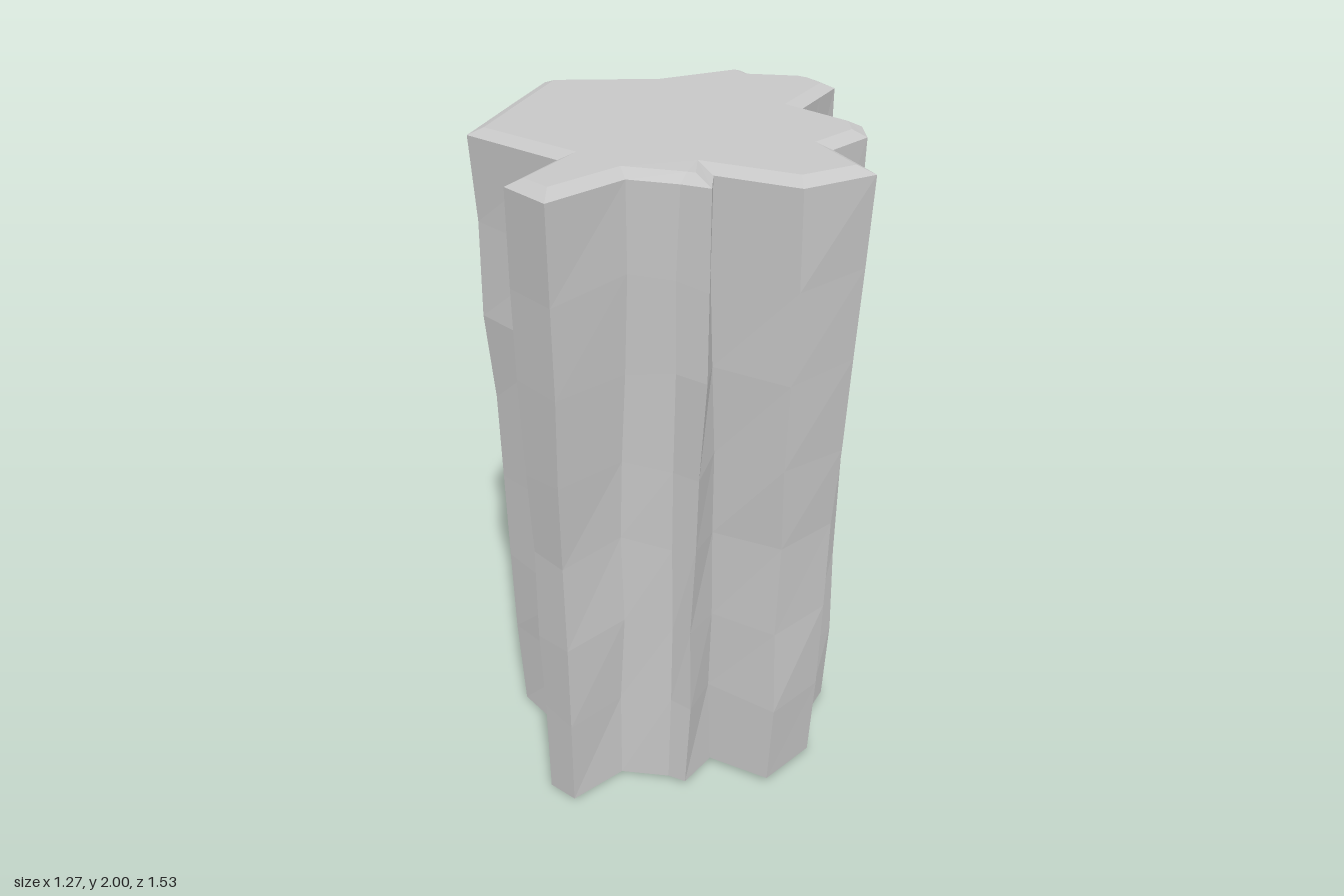
import * as THREE from 'three';

// Vertical edges of the rock, clockwise from above: [topX, topZ, bottomX, bottomZ, swell]
const EDGES = [
  [-0.31, -0.725, -0.23, -0.62], [0.06, -0.655, 0.07, -0.6], [0.39, -0.77, 0.35, -0.635],
  [0.41, -0.66, 0.39, -0.56], [0.57, -0.585, 0.47, -0.47], [0.6, -0.53, 0.52, -0.43],
  [0.62, -0.405, 0.565, -0.35, 0.03], [0.53, -0.28, 0.43, -0.22], [0.415, -0.12, 0.29, -0.1],
  [0.525, 0.14, 0.46, 0.07, 0.025], [0.495, 0.275, 0.44, 0.26, 0.015], [0.35, 0.395, 0.345, 0.38, 0.015],
  [0.38, 0.675, 0.3, 0.545], [0.15, 0.765, 0.13, 0.66], [-0.045, 0.585, -0.02, 0.515],
  [-0.08, 0.71, -0.125, 0.61, 0.03], [-0.15, 0.65, -0.17, 0.57], [-0.28, 0.57, -0.31, 0.51],
  [-0.52, 0.75, -0.48, 0.605], [-0.6, 0.57, -0.54, 0.52], [-0.425, 0.33, -0.42, 0.34, 0.02],
  [-0.64, -0.02, -0.555, 0.03], [-0.475, -0.375, -0.45, -0.3],
];
const LEVELS = [0, 0.3, 0.58, 0.87, 1.13, 1.42, 1.7, 1.97];
const BLEND = [0, 0.21, 0.29, 0.38, 0.53, 0.74, 0.85, 1]; // bottom outline to top outline
const SWELL = [0, 0.1, 0.5, 0.5, 0.6, 1, 0.1, 0]; // strength of the ridge swell
const BEVEL = 0.045;

// Small repeatable wobble in -1..1
function wobble(i, j, k) {
  const s = Math.sin(i * 12.9898 + j * 78.233 + k * 37.719) * 43758.5453;
  return (s - Math.floor(s)) * 2 - 1;
}

// One cross-section of the rock
function ring(level) {
  const last = LEVELS.length - 1;
  const t = BLEND[level];
  return EDGES.map(([tx, tz, bx, bz, swell = 0], i) => {
    let x = bx + (tx - bx) * t, z = bz + (tz - bz) * t;
    const grow = 1 + (swell * SWELL[level]) / Math.hypot(x, z);
    x *= grow;
    z *= grow;
    let y = LEVELS[level];
    if (level === 0) y = 0.015 + x * 0.024;
    else if (level === last) y += z * 0.006;
    else {
      x += wobble(i, level, 1) * 0.007;
      z += wobble(i, level, 2) * 0.007;
      y += wobble(i, level, 3) * 0.015;
    }
    return new THREE.Vector3(x, y, z);
  });
}

// Mitred inset of the upper ring, giving the bevelled rim
function inset(points) {
  const n = points.length;
  const normal = (a, b) => new THREE.Vector2(a.z - b.z, b.x - a.x).normalize();
  return points.map((p, i) => {
    const n1 = normal(points[(i + n - 1) % n], p);
    const n2 = normal(p, points[(i + 1) % n]);
    const m = n1.clone().add(n2);
    m.multiplyScalar(BEVEL / Math.max(0.5, 1 + n1.dot(n2)));
    return new THREE.Vector3(p.x + m.x, 1.99 + p.z * 0.01, p.z + m.y);
  });
}

function meshFrom(triangles, material, name) {
  const geometry = new THREE.BufferGeometry().setFromPoints(triangles);
  geometry.computeVertexNormals();
  const mesh = new THREE.Mesh(geometry, material);
  mesh.name = name;
  return mesh;
}

// Band of facets between two rings
function band(low, high, out = []) {
  low.forEach((a, i) => {
    const k = (i + 1) % low.length;
    out.push(low[k], a, high[i], low[k], high[i], high[k]);
  });
  return out;
}

// Flat end facing up (dir 1) or down (dir -1)
function cap(points, dir) {
  const contour = points.map((p) => new THREE.Vector2(p.x, p.z));
  const out = [];
  for (const [i, j, k] of THREE.ShapeUtils.triangulateShape(contour, [])) {
    const a = points[i], b = points[j], c = points[k];
    const up = (b.z - a.z) * (c.x - a.x) - (b.x - a.x) * (c.z - a.z);
    out.push(...(up * dir > 0 ? [a, b, c] : [a, c, b]));
  }
  return out;
}

export function createModel() {
  const stone = new THREE.MeshStandardMaterial({ color: 0xc8c8c8, flatShading: true });
  stone.name = 'grey stone';
  const model = new THREE.Group();
  model.name = 'rockPillar';

  const rings = LEVELS.map((_, i) => ring(i));
  const top = rings[rings.length - 1];
  const rimInner = inset(top);

  // Faceted sides
  const sides = [];
  for (let i = 0; i < rings.length - 1; i++) band(rings[i], rings[i + 1], sides);
  model.add(meshFrom(sides, stone, 'rockSides'));

  // Bevelled rim, top and underside
  model.add(meshFrom(band(top, rimInner), stone, 'bevelledRim'));
  model.add(meshFrom(cap(rimInner, 1), stone, 'topFace'));
  model.add(meshFrom(cap(rings[0], -1), stone, 'underside'));
  return model;
}
